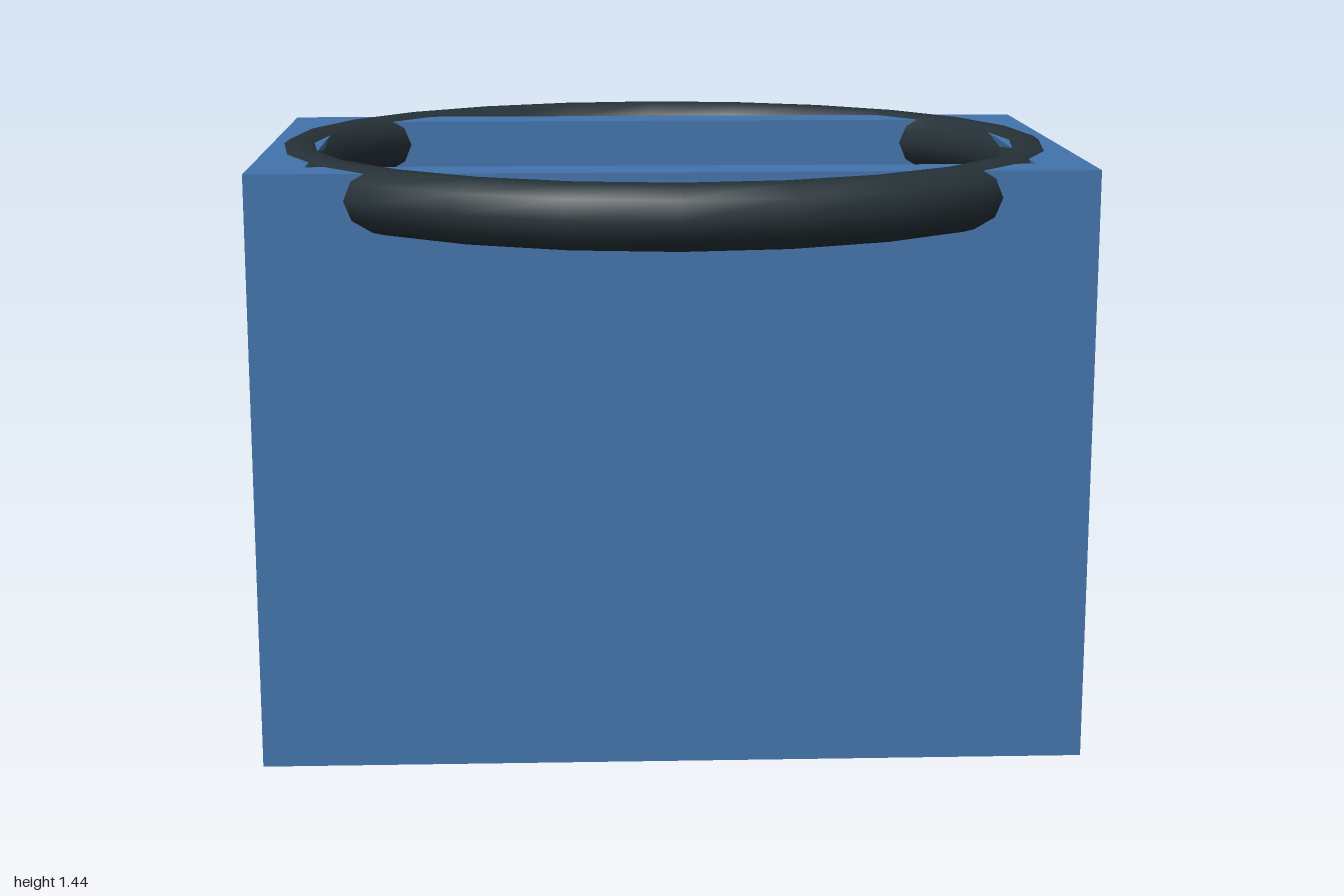
import * as THREE from 'three';

const W = 0.99, D = 0.634, H = 1.43; // half width, half depth, height
const WALL = 0.13;

function rectangle(path, x, z) {
  path.moveTo(-x, -z);
  path.lineTo(x, -z);
  path.lineTo(x, z);
  path.lineTo(-x, z);
  path.closePath();
  return path;
}

export function createModel() {
  const blue = new THREE.MeshStandardMaterial({ color: 0x4374ac });
  blue.name = 'blue';
  const charcoal = new THREE.MeshStandardMaterial({ color: 0x263238 });
  charcoal.name = 'charcoal';

  const model = new THREE.Group();
  model.name = 'openBoxWithRing';
  const add = (name, geometry, material, y) => {
    const mesh = new THREE.Mesh(geometry, material);
    mesh.name = name;
    mesh.position.y = y;
    model.add(mesh);
  };

  // Four walls around a rectangular cavity
  const outline = rectangle(new THREE.Shape(), W, D);
  outline.holes.push(rectangle(new THREE.Path(), W - WALL, D - WALL));
  const walls = new THREE.ExtrudeGeometry(outline, { depth: H, bevelEnabled: false });
  walls.rotateX(-Math.PI / 2);
  add('walls', walls, blue, 0);

  // Floor filling the bottom of the cavity
  const floor = new THREE.BoxGeometry(2 * (W - WALL), WALL, 2 * (D - WALL));
  add('floor', floor, blue, WALL / 2);

  // Round handle ring sunk into the rim
  const ring = new THREE.TorusGeometry(0.922, 0.077, 10, 24);
  ring.rotateX(Math.PI / 2);
  add('handleRing', ring, charcoal, 1.367);

  return model;
}
